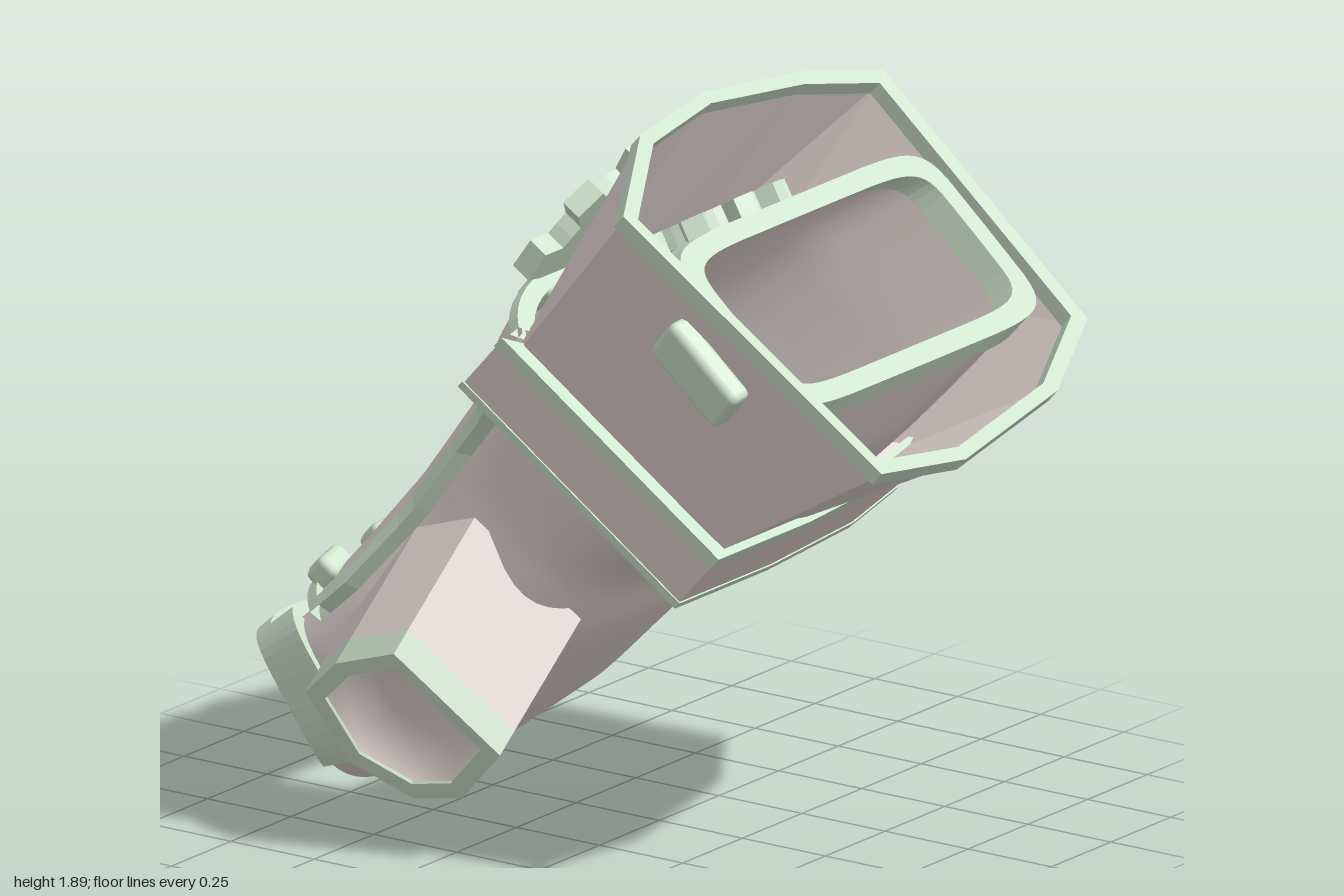
import * as THREE from 'three';
import { RoundedBoxGeometry } from 'three/addons/geometries/RoundedBoxGeometry.js';

const mat = (name, color) => {
  const m = new THREE.MeshStandardMaterial({ color, side: THREE.DoubleSide });
  m.name = name;
  return m;
};

// Arm frame: s runs from fingers to cuff, t from back of hand to palm, z across
const A = new THREE.Vector3(0.662, 0.749, 0), B = new THREE.Vector3(0.749, -0.662, 0);
const W = (s, t, z) => new THREE.Vector3(0.662 * s + 0.749 * t, 0.749 * s - 0.662 * t, z);

// Skin over a list of rings (arrays of Vector3 of equal length)
function loft(rings, { closed = true, wrap = false, flat = false } = {}) {
  const n = rings[0].length, pos = [], idx = [];
  rings.forEach(r => r.forEach(p => pos.push(p.x, p.y, p.z)));
  const rows = wrap ? rings.length : rings.length - 1, cols = closed ? n : n - 1;
  for (let i = 0; i < rows; i++) for (let j = 0; j < cols; j++) {
    const k = (i + 1) % rings.length, l = (j + 1) % n;
    const a = i * n + j, b = i * n + l, c = k * n + l, d = k * n + j;
    idx.push(a, b, c, a, c, d);
  }
  let g = new THREE.BufferGeometry();
  g.setAttribute('position', new THREE.Float32BufferAttribute(pos, 3));
  g.setIndex(idx);
  if (flat) g = g.toNonIndexed();
  g.computeVertexNormals();
  return g;
}

// Hand and sleeve sections: s, back t, palm t, centre z, half width, squareness
const KEYS = [
  [-0.46, -0.96, -0.58, 0, 0.46, 3], [-0.25, -0.94, -0.46, 0, 0.48, 3],
  [0, -0.93, -0.4, 0, 0.47, 3], [0.3, -0.945, -0.37, 0, 0.42, 3],
  [0.55, -0.975, -0.385, 0, 0.4, 3], [0.8, -0.985, -0.27, 0, 0.45, 3.2],
  [1.1, -0.92, -0.26, -0.03, 0.47, 4], [1.45, -0.8, -0.29, -0.055, 0.52, 7]];
function hand(s, ang, grow = 0) {
  let i = 0;
  while (i < KEYS.length - 2 && s > KEYS[i + 1][0]) i++;
  const f = (s - KEYS[i][0]) / (KEYS[i + 1][0] - KEYS[i][0]);
  const [, t0, t1, zc, zh, n] = KEYS[i].map((v, k) => THREE.MathUtils.lerp(v, KEYS[i + 1][k], f));
  const pw = v => Math.sign(v) * Math.abs(v) ** (2 / n);
  const z = zc + (zh + grow) * pw(Math.sin(ang));
  const t = (t0 + t1) / 2 - ((t1 - t0) / 2 + grow) * pw(Math.cos(ang));
  // towards the fingers the ends curve back at the sides and reach further on the palm
  const w = THREE.MathUtils.clamp((0.25 - s) / 0.7, 0, 1);
  return W(s + w * (0.17 * (z / 0.48) ** 2 - 0.25 * (t + 0.96)), t, z);
}
const SEG = 48;
const handRing = (s, grow) => Array.from({ length: SEG }, (_, j) => hand(s, j / SEG * Math.PI * 2, grow));
const steps = (a, b, n) => Array.from({ length: n + 1 }, (_, i) => a + (b - a) * i / n);

// Back plate: its lift off the hand and its two side limits along the arm
const flare = s => THREE.MathUtils.smoothstep(s, 0.6, 0.98);
const lift = s => 0.026 + 0.08 * flare(s);
const PLUS = 0.97, minus = s => -1.5 - 0.8 * flare(s);
const END = -0.13, TOP = 0.97;

// Cuff outlines (t, z) at the mouth and at the band
const MOUTH = [[-0.905, 0.61], [-1.09, 0.33], [-1.14, 0], [-1.1, -0.4], [-1.03, -0.68],
  [-0.23, -0.7], [-0.08, -0.4], [0.005, 0.1], [-0.035, 0.43]];
const BAND = [[-0.93, 0.54], [-1.03, 0.28], [-1.06, 0], [-1.04, -0.33], [-0.92, -0.54],
  [-0.27, -0.52], [-0.23, -0.3], [-0.21, 0.05], [-0.21, 0.42]];
const outline = (pts, s, f = 1, tilt = 0) =>
  pts.map(([t, z]) => W(s + tilt * z, -0.58 + (t + 0.58) * f, z * f));
const hoop = (pts, s0, s1, f0, f1, tilt, closed) => loft([
  outline(pts, s0, f0, tilt), outline(pts, s0, f1, tilt),
  outline(pts, s1, f1, tilt), outline(pts, s1, f0, tilt)], { wrap: true, flat: true, closed });

// Half cog plate, teeth pointing up the arm
function cog(r, hole) {
  const sh = new THREE.Shape(), teeth = 6, lim = 1.75;
  for (let i = 0; i < teeth; i++) {
    [[0, 0.8], [0.2, 0.8], [0.3, 1], [0.7, 1], [0.8, 0.8]].forEach(([u, k]) => {
      const a = -lim + (i + u) / teeth * lim * 2, x = Math.sin(a) * r * k, y = Math.cos(a) * r * k;
      if (i === 0 && u === 0) sh.moveTo(x, y); else sh.lineTo(x, y);
    });
  }
  sh.lineTo(Math.sin(lim) * r * 0.8, Math.cos(lim) * r * 0.8);
  for (const a of steps(lim, -lim, 10)) sh.lineTo(Math.sin(a) * hole, Math.cos(a) * hole);
  return new THREE.ExtrudeGeometry(sh, { depth: 0.055, bevelEnabled: false });
}

export function createModel() {
  const model = new THREE.Group();
  model.name = 'gauntlet';
  const cloth = mat('pale mauve grey', 0xe4d8d5);
  const trim = mat('pale green', 0xcfe5cd);
  const add = (name, geo, m) => {
    const mesh = new THREE.Mesh(geo, m);
    mesh.name = name;
    model.add(mesh);
    return mesh;
  };
  const place = (mesh, pos, normal, up = A) => {
    const n = normal.clone().normalize();
    const x = new THREE.Vector3().crossVectors(up, n).normalize();
    const y = new THREE.Vector3().crossVectors(n, x);
    mesh.quaternion.setFromRotationMatrix(new THREE.Matrix4().makeBasis(x, y, n));
    mesh.position.copy(pos);
  };

  // Hand running into the inner sleeve
  add('handAndSleeve', loft(steps(-0.42, 1.44, 32).map(s => handRing(s, 0))), cloth);
  add('sleeveRim', loft([handRing(1.39, 0.015), handRing(1.46, 0.015), handRing(1.46, -0.04),
    handRing(1.39, -0.04)], { wrap: true, flat: true }), trim);

  // Strip of trim lying on the hand: rows of [s, angle, s width, angle width]
  const edge = (name, coords) => add(name, loft([[0, -0.022], [0, 0.02], [1, 0.02], [1, -0.022]].map(
    ([k, g]) => coords.map(([s, a, ds, da]) => hand(s + ds * k, a + da * k, lift(s) + g))),
    { closed: false, wrap: true, flat: true }), trim);
  edge('fingerRim', steps(-2.1, 0.8, 24).map(a => [-0.36, a, -0.07, 0]));
  edge('fingerCheek', steps(0.8, 2.2, 12).map(a => [-0.25, a, -0.18, 0]));

  // Plate over the back of the hand, edged with trim
  add('backPlate', loft(steps(END, TOP, 20).map(s =>
    steps(minus(s), PLUS, 30).map(a => hand(s, a, lift(s)))), { closed: false }), cloth);
  edge('plateSideTrim', steps(END, 0.78, 14).map(s => [s, PLUS, 0, 0.12]));
  edge('plateFarTrim', steps(END, 0.78, 14).map(s => [s, minus(s), 0, -0.1]));
  edge('plateEndTrim', steps(minus(END) - 0.1, PLUS + 0.12, 30).map(a => [END, a, -0.045, 0]));
  edge('plateTopTrim', steps(minus(TOP), PLUS, 30).map(a => [TOP - 0.02, a, 0.035, 0]));

  // Flared cuff with mouth rim, and a band around its palm side
  add('cuffWall', loft([outline(BAND, 0.9, 0.93), outline(MOUTH, 1.46, 0.99, 0.065)], { flat: true }), cloth);
  add('cuffLining', loft([outline(BAND, 0.9, 0.89), outline(MOUTH, 1.46, 0.95, 0.065)], { flat: true }), cloth);
  add('cuffRim', hoop(MOUTH, 1.445, 1.488, 0.94, 1.005, 0.065, true), trim);
  const strap = [...BAND.slice(5), BAND[0]];
  add('band', hoop(strap, 0.785, 0.935, 0.85, 1.035, 0, false), cloth);
  add('bandUpperTrim', hoop(strap, 0.93, 0.965, 0.9, 1.045, 0, false), trim);
  add('bandLowerTrim', hoop(strap, 0.766, 0.787, 0.85, 1.045, 0, false), trim);

  // Thumb: open faceted tube with a slanted end
  const tEnd = [[-0.63, 0.35], [-0.5, 0.46], [-0.3, 0.53], [-0.07, 0.28], [-0.24, 0.12], [-0.4, 0.085], [-0.57, 0.16]];
  const tc = [-0.35, 0.31];
  const thumbRing = (k, f = 1) => tEnd.map(([x, y]) => {
    const px = tc[0] + (x - tc[0]) * f, py = tc[1] + (y - tc[1]) * f;
    return new THREE.Vector3(px + 0.05 * k, py + 0.29 * k, 0.47 + 0.5 * (py - 0.08) - 0.27 * k);
  });
  add('thumb', loft([thumbRing(0.18), thumbRing(1)], { flat: true }), cloth);
  add('thumbLining', loft([thumbRing(0.02, 0.8), thumbRing(0.16, 0.74), thumbRing(0.24, 0.5),
    thumbRing(0.27, 0.01)]), cloth);
  add('thumbCollar', loft([thumbRing(0), thumbRing(0.18)], { flat: true }), trim);
  add('thumbRim', loft([thumbRing(0), thumbRing(0, 0.8), thumbRing(0.02, 0.8)], { flat: true }), trim);

  // Cogs on the outside of the cuff and on the sleeve behind it
  const tilted = k => [B.clone().negate().addScaledVector(A, k), A.clone().addScaledVector(B, k)];
  place(add('outerCog', cog(0.36, 0.1), trim), W(1.0, -1.045, 0.02), ...tilted(-0.14));
  place(add('innerCog', cog(0.25, 0.08), trim), W(1.16, -0.91, -0.05), ...tilted(0.34));

  // Studs on cuff, band and knuckles
  const stud = (name, w, h, pos, normal) =>
    place(add(name, new RoundedBoxGeometry(w, h, 0.07, 1, 0.02), trim), pos, normal);
  const Z = new THREE.Vector3(0, 0, 1), back = B.clone().negate();
  stud('cuffStud', 0.26, 0.13, W(1.357, -0.518, 0.54), new THREE.Vector3(-0.1, -0.15, 1));
  stud('bandStudBack', 0.13, 0.1, W(0.87, -0.72, -0.55), Z.clone().negate());
  stud('bandStudTop', 0.1, 0.1, W(0.93, -1.04, 0.27), back.clone().addScaledVector(Z, 0.3));
  for (const [s, z, t] of [[0.01, -0.28, -0.955], [-0.09, 0.05, -0.975], [-0.05, 0.35, -0.94]])
    stud('knuckleStud', 0.11, 0.08, W(s, t, z), back.clone().addScaledVector(Z, z * 0.6));

  return model;
}
